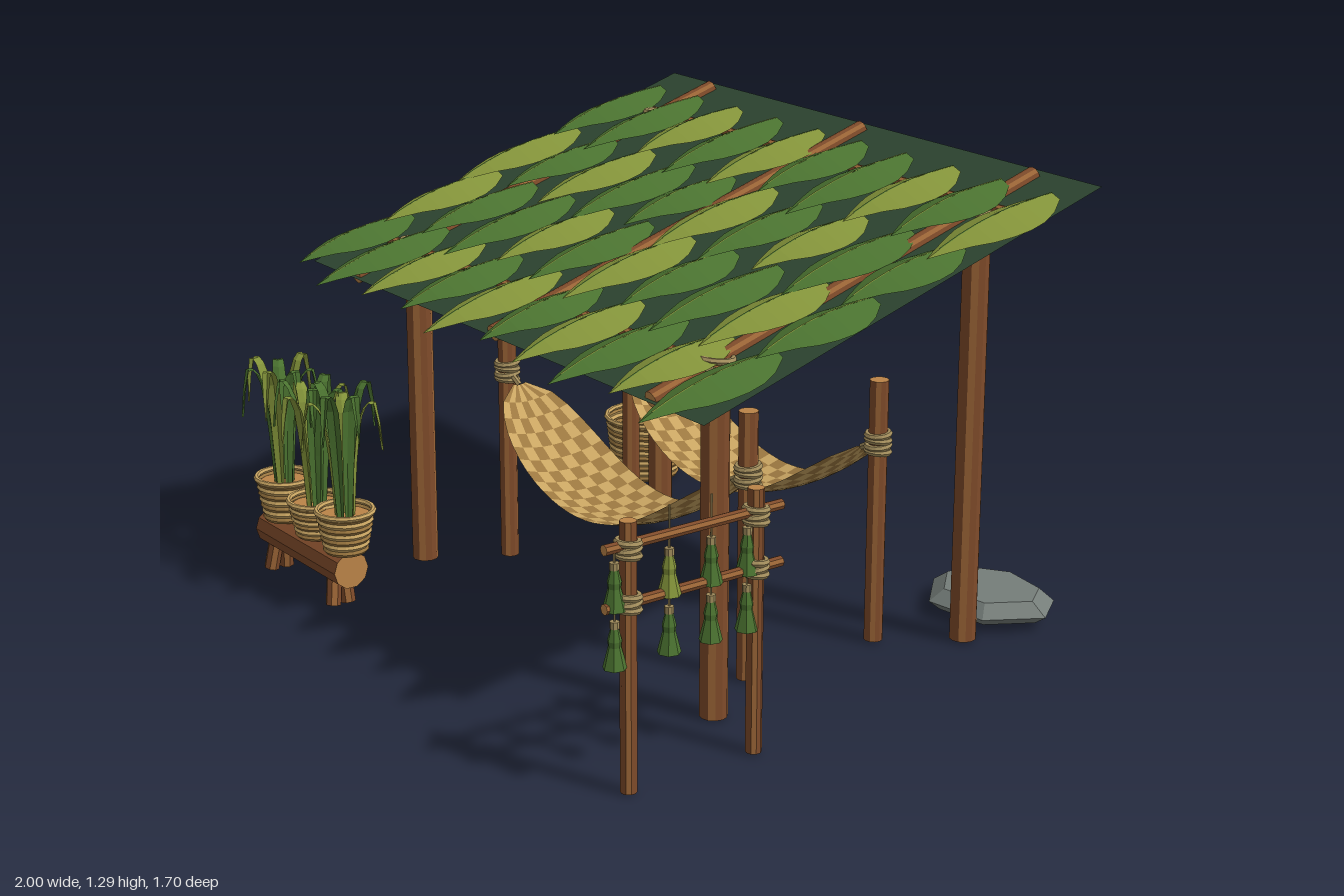
import * as THREE from 'three';
import { ConvexGeometry } from 'three/addons/geometries/ConvexGeometry.js';

const mat = (name, color, side = THREE.FrontSide) => {
  const m = new THREE.MeshStandardMaterial({ color, side, flatShading: true });
  m.name = name;
  return m;
};
const D = THREE.DoubleSide;
const M = {
  bark: mat('bark', 0x7f4b2a),
  barkLight: mat('light bark', 0x9c6637),
  cut: mat('cut wood', 0xbb8448, D),
  rope: mat('rope', 0xa28d5c),
  straw: mat('straw', 0xc9a562, D),
  strawDark: mat('dark straw', 0x9c7840, D),
  leaf: mat('leaf green', 0x4b7330, D),
  leafLight: mat('yellow green', 0x84943a, D),
  thatch: mat('roof base green', 0x2d4430, D),
  stone: mat('stone', 0x757d79),
};
const V = (x, y, z) => new THREE.Vector3(x, y, z);
const UP = V(0, 1, 0);

function add(parent, name, geo, material) {
  const m = new THREE.Mesh(geo, material);
  m.name = name;
  parent.add(m);
  return m;
}

// Open surface from f(u, v); keep(i, j) selects cells
function grid(f, nu, nv, keep = () => true) {
  const pos = [];
  for (let i = 0; i < nu; i++) for (let j = 0; j < nv; j++) {
    if (!keep(i, j)) continue;
    const [a, b, c, d] = [[i, j], [i + 1, j], [i + 1, j + 1], [i, j + 1]].map(([p, q]) => f(p / nu, q / nv));
    for (const p of [a, b, c, a, c, d]) pos.push(p.x, p.y, p.z);
  }
  const g = new THREE.BufferGeometry();
  g.setAttribute('position', new THREE.Float32BufferAttribute(pos, 3));
  g.computeVertexNormals();
  return g;
}

// Round pole between two points with streaks of lighter bark
function pole(parent, name, a, b, r, sides = 12) {
  const dir = b.clone().sub(a);
  const geo = new THREE.CylinderGeometry(r, r, dir.length(), sides, 1);
  const caps = geo.groups.slice(1);
  geo.clearGroups();
  for (let i = 0; i < sides; i++) geo.addGroup(i * 6, 6, i % 3 === 1 ? 1 : 0);
  caps.forEach(c => geo.addGroup(c.start, c.count, 2));
  const m = add(parent, name, geo, [M.bark, M.barkLight, M.cut]);
  m.position.copy(a).add(b).multiplyScalar(0.5);
  m.quaternion.setFromUnitVectors(UP, dir.normalize());
}

// Stacked rope rings round an upright pole
function lashing(parent, x, y, z, r, n = 4) {
  const g = new THREE.Group();
  g.name = 'ropeLashing';
  for (let i = 0; i < n; i++) {
    const t = add(g, 'ropeRing', new THREE.TorusGeometry(r + 0.004, 0.009, 6, 14), M.rope);
    t.position.set(x, y + (i - (n - 1) / 2) * 0.016, z);
    t.rotation.set(Math.PI / 2 + (i % 2 ? 0.1 : -0.1), 0, 0);
  }
  parent.add(g);
}

// Tapered woven vessel built from alternating ribbed bands
function basket(parent, name, x, y, z, r0, r1, h, bands) {
  const g = new THREE.Group();
  g.name = name;
  g.position.set(x, y, z);
  for (let k = 0; k < bands; k++) {
    const at = t => r0 + (r1 - r0) * t;
    const t0 = k / bands, t1 = (k + 1) / bands, tm = (t0 + t1) / 2;
    const prof = [[at(t0), t0], [at(tm) + 0.005, tm], [at(t1), t1]].map(([r, t]) => new THREE.Vector2(r, t * h));
    add(g, 'wovenBand', new THREE.LatheGeometry(prof, 18), k % 2 ? M.straw : M.strawDark);
  }
  const rim = add(g, 'rim', new THREE.TorusGeometry(r1, 0.008, 6, 18), M.straw);
  rim.position.y = h;
  rim.rotation.x = Math.PI / 2;
  add(g, 'base', new THREE.CylinderGeometry(r0, r0, 0.01, 18), M.cut).position.y = 0.006;
  parent.add(g);
  return g;
}

const roofY = z => 0.88 + (0.55 - z) * 0.305;

// Broad folded roof leaf, pointing down the slope
const WIDTH = [0.03, 0.066, 0.087, 0.094, 0.09, 0.076, 0.05, 0.026, 0];
function roofLeaf(x, z, len) {
  return grid((u, v) => {
    const w = WIDTH[Math.round(u * 8)], s = v * 2 - 1, zz = z + u * len;
    const lift = 0.03 + 0.035 * Math.sin(u * 2.5) - 0.035 * Math.abs(s) * (w / 0.094);
    return V(x + s * w, roofY(zz) + lift, zz);
  }, 8, 2);
}

function buildRoof(root) {
  const roof = new THREE.Group();
  roof.name = 'roof';
  root.add(roof);
  add(roof, 'roofSheet', grid((u, v) => V(-0.88 + 1.835 * v, roofY(-0.735 + 1.285 * u), -0.735 + 1.285 * u), 1, 1), M.thatch);
  for (const x of [-0.66, 0.035, 0.73]) pole(roof, 'rafter', V(x, roofY(0.54), 0.54), V(x, roofY(-0.71), -0.71), 0.023);
  for (const z of [-0.53, 0.36]) pole(roof, 'purlin', V(-0.78, roofY(z) - 0.004, z), V(0.85, roofY(z) - 0.004, z), 0.017, 9);

  const rows = [
    { x: -0.782, z: -0.61, light: [2, 4, 7, 9] },
    { x: -0.802, z: -0.31, light: [0, 2, 5, 7] },
    { x: -0.79, z: -0.02, light: [0, 3, 5, 8] },
    { x: -0.81, z: 0.27, light: [2, 4, 6, 8] },
  ];
  rows.forEach((row, r) => {
    for (let i = 0; i < 10; i++) {
      const len = 0.395 + 0.03 * Math.sin(i * 2.3 + r * 1.7);
      const light = row.light.includes(i), x = row.x + i * 0.187;
      add(roof, 'roofLeaf', roofLeaf(x, row.z, len), light ? M.leafLight : M.leaf);
      // Thin midrib along the fold
      add(roof, 'leafRib', grid((u, v) => {
        const z = row.z + u * len * 0.9;
        return V(x + (v - 0.5) * 0.005, roofY(z) + 0.0315 + 0.035 * Math.sin(u * 2.25), z);
      }, 6, 1), light ? M.leaf : M.leafLight);
    }
  });
}

function buildHammock(root, zc) {
  const g = new THREE.Group();
  g.name = 'hammock';
  root.add(g);
  const cloth = (u, v) => {
    const s = (u * 2 - 1) * 0.995, t = v * 2 - 1;
    const w = 0.15 * Math.sqrt(1 - s ** 4);
    return V(0.035 + 0.5 * s, 0.29 + 0.25 * s * s + 0.025 * t * t * (w / 0.15), zc + w * t);
  };
  add(g, 'lightWeave', grid(cloth, 24, 8, (i, j) => (i + j) % 2 === 0), M.straw);
  add(g, 'darkWeave', grid(cloth, 24, 8, (i, j) => (i + j) % 2 === 1), M.strawDark);
  for (const [px, ex] of [[-0.525, -0.46], [0.595, 0.53]]) {
    pole(g, 'hammockPost', V(px, 0, zc), V(px, 0.74, zc), 0.026);
    lashing(g, px, 0.565, zc, 0.026);
    const path = new THREE.CatmullRomCurve3([V(ex, 0.535, zc), V((px + ex) / 2, 0.553, zc), V(px, 0.565, zc)]);
    add(g, 'hammockCord', new THREE.TubeGeometry(path, 4, 0.009, 6), M.rope);
  }
}

// Potted plants on a log bench
function buildPlanter(root) {
  const g = new THREE.Group();
  g.name = 'planterBench';
  root.add(g);
  pole(g, 'benchLog', V(-0.89, 0.11, 0.715), V(-0.44, 0.11, 0.715), 0.054, 10);
  for (const x of [-0.83, -0.5]) for (const s of [-1, 1])
    pole(g, 'benchLeg', V(x + (x < -0.6 ? -0.012 : 0.012), 0, 0.725 + s * 0.024), V(x, 0.09, 0.72 + s * 0.015), 0.022, 8);
  [[-0.797, 0.72, 0.125], [-0.622, 0.715, 0.105], [-0.465, 0.715, 0.12]].forEach(([x, z, h], p) => {
    const pot = basket(g, 'pot', x, 0.162, z, 0.058, 0.08, h, 7);
    add(pot, 'soil', new THREE.CylinderGeometry(0.074, 0.07, 0.01, 14), M.cut).position.y = h - 0.02;
    for (let k = 0; k < 7; k++) {
      const a = k * Math.PI * 2 / 7 + p * 0.5, c = Math.cos(a), s = Math.sin(a);
      const top = 0.36 + 0.02 * Math.sin(k * 3 + p);
      const path = new THREE.CatmullRomCurve3([[0.02, 0], [0.032, 0.18], [0.055, top - 0.03], [0.085, top], [0.11, top - 0.14]]
        .map(([r, y]) => V(r * c, h - 0.02 + y, r * s)));
      add(pot, 'blade', grid((u, v) => {
        const q = path.getPoint(u), t = v * 2 - 1;
        const w = 0.026 * Math.min(1, 0.4 + u * 1.5) * Math.sqrt(1 - u);
        return V(q.x - s * t * w + c * Math.abs(t) * 0.006, q.y, q.z + c * t * w + s * Math.abs(t) * 0.006);
      }, 9, 2), k % 2 ? M.leafLight : M.leaf);
    }
  });
}

// Drying rack with hanging herb bundles
function buildRack(root) {
  const g = new THREE.Group();
  g.name = 'dryingRack';
  root.add(g);
  const x = 0.96;
  for (const z of [0.775, 0.394]) {
    pole(g, 'rackPost', V(x, 0, z), V(x, 0.695, z), 0.021, 10);
    for (const y of [0.625, 0.49]) lashing(g, x, y, z, 0.023, 3);
  }
  for (const y of [0.635, 0.487]) {
    pole(g, 'rackBar', V(x, y, 0.845), V(x, y, 0.315), 0.014, 8);
    [0.815, 0.655, 0.53, 0.42].forEach((z, i) => {
      add(g, 'herbString', new THREE.CylinderGeometry(0.003, 0.003, 0.06, 5), M.rope).position.set(x, y - 0.02, z);
      add(g, 'herbTie', new THREE.CylinderGeometry(0.012, 0.012, 0.018, 8), M.rope).position.set(x, y - 0.045, z);
      const herb = [[0.008, 0], [0.018, -0.04], [0.016, -0.055], [0.03, -0.11], [0.01, -0.105]]
        .map(([r, h]) => new THREE.Vector2(r, h));
      add(g, 'herbBundle', new THREE.LatheGeometry(herb, 7), i === 1 && y > 0.6 ? M.leafLight : M.leaf).position.set(x, y - 0.045, z);
    });
  }
  for (const z of [0.655, 0.53])
    add(g, 'stringLoop', new THREE.CylinderGeometry(0.003, 0.003, 0.075, 5), M.rope).position.set(x, 0.67, z);
}

export function createModel() {
  const root = new THREE.Group();
  root.name = 'leafShelter';
  buildRoof(root);

  // Four corner posts
  for (const x of [-0.65, 0.733]) for (const z of [0.344, -0.512]) {
    const top = roofY(z);
    pole(root, 'cornerPost', V(x, 0, z), V(x, top, z), 0.037);
    lashing(root, x, top - 0.02, z, 0.04, 5);
  }
  for (const z of [0.13, -0.31]) buildHammock(root, z);
  buildPlanter(root);
  buildRack(root);
  basket(root, 'basket', -0.868, 0, -0.615, 0.1, 0.124, 0.19, 11);

  // Flat stepping stone
  const outline = [[-0.2, 0.03], [-0.2, -0.06], [-0.06, -0.155], [0.12, -0.13], [0.2, -0.02], [0.11, 0.13], [-0.08, 0.155]];
  const pts = [];
  for (const [k, y] of [[0.82, 0.015], [1, 0.04], [0.76, 0.075]])
    for (const [px, pz] of outline) pts.push(V(px * k, y, pz * k));
  add(root, 'flatStone', new ConvexGeometry(pts), M.stone).position.set(0.638, 0, -0.7);
  return root;
}
